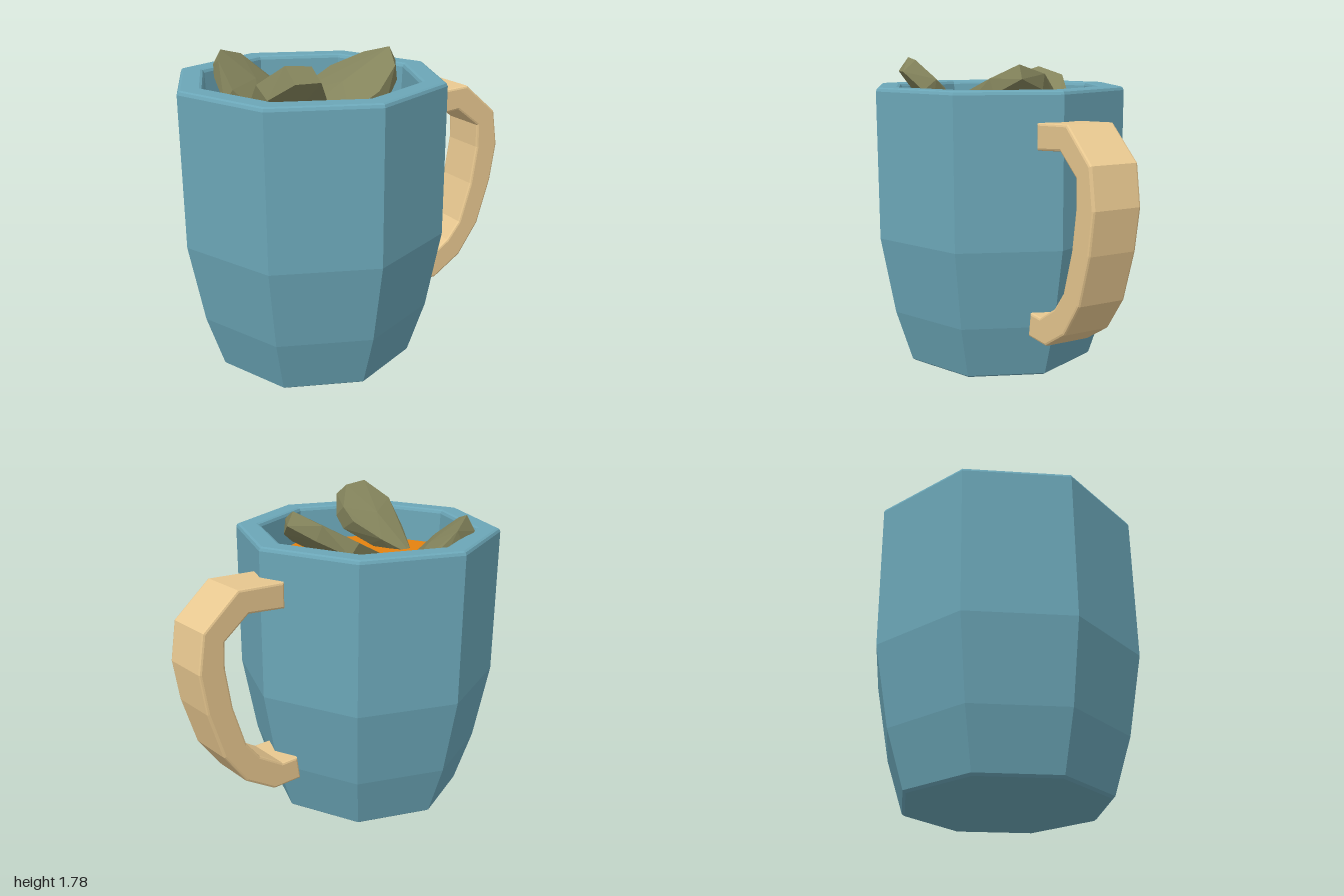
import * as THREE from 'three';
import { ConvexGeometry } from 'three/addons/geometries/ConvexGeometry.js';

const CX = -0.243; // axis of the cup
const mat = (color) => new THREE.MeshStandardMaterial({ color, flatShading: true });
const vec2 = (list) => list.map(([x, y]) => new THREE.Vector2(x, y));

function addMesh(group, name, geometry, material) {
  const mesh = new THREE.Mesh(geometry, material);
  mesh.name = name;
  group.add(mesh);
  return mesh;
}

// Rough slab: an upper outline, a slightly smaller lower outline, and a bulge on top.
function slab(outline, shift, bulge) {
  const top = outline.map((p) => new THREE.Vector3(...p));
  const down = new THREE.Vector3(...shift);
  const mid = top.reduce((sum, p) => sum.add(p), new THREE.Vector3()).divideScalar(top.length);
  const crown = mid.clone().addScaledVector(down, -bulge);
  const lower = top.map((p, i) => p.clone().lerp(mid, i % 2 ? 0.04 : 0.12).add(down));
  const keel = mid.clone().addScaledVector(down, 1.3);
  return new ConvexGeometry([...top, ...lower, crown, keel]);
}

export function createModel() {
  const model = new THREE.Group();
  model.name = 'mug';

  // Eight-sided cup with a thick, bevelled rim
  const profile = vec2([
    [0, 0], [0.56, 0], [0.577, 0.012], [0.675, 0.32], [0.757, 0.77],
    [0.757, 1.605], [0.75, 1.62], [0.737, 1.626], [0.637, 1.626], [0.623, 1.62],
    [0.615, 1.605], [0.605, 1.38], [0.59, 0.77], [0.52, 0.32], [0.44, 0.14], [0, 0.14],
  ]);
  addMesh(model, 'cup', new THREE.LatheGeometry(profile, 8), mat(0x6ba6b7)).position.x = CX;

  // Drink surface
  const drink = addMesh(model, 'drink', new THREE.CylinderGeometry(0.607, 0.605, 0.04, 8), mat(0xe5820f));
  drink.position.set(CX, 1.4, 0);

  // Angular handle
  const bevel = 0.013;
  const width = 0.282;
  const side = new THREE.Shape(vec2([
    [0.46, 1.315], [0.69, 1.335], [0.84, 1.22], [0.845, 1.08], [0.81, 0.85], [0.735, 0.61],
    [0.65, 0.505], [0.5, 0.41], [0.395, 0.41], [0.375, 0.27], [0.56, 0.27], [0.745, 0.385],
    [0.88, 0.575], [0.965, 0.85], [1.0, 1.08], [0.965, 1.295], [0.75, 1.475], [0.46, 1.46],
  ]));
  const handle = new THREE.ExtrudeGeometry(side, {
    depth: width - 2 * bevel, bevelThickness: bevel, bevelSize: bevel, bevelOffset: -bevel, bevelSegments: 2,
  });
  handle.translate(0, 0, -width / 2 + bevel + 0.006 - 0.012);
  addMesh(model, 'handle', handle, mat(0xe8c890));

  // Three tilted chunks floating in the drink
  const chunkMat = mat(0x84845c);
  const chunks = {
    middleChunk: [[
      [-0.25, 1.47, -0.22], [0.02, 1.61, -0.23], [0.16, 1.7, -0.09], [0.21, 1.755, 0.1],
      [0.15, 1.68, 0.25], [-0.02, 1.58, 0.36], [-0.19, 1.48, 0.34], [-0.32, 1.41, 0.2], [-0.37, 1.4, 0.04],
    ], [0.05, -0.07, 0.005], 0.3],
    backChunk: [[
      [-0.62, 1.68, -0.36], [-0.56, 1.72, -0.47], [-0.4, 1.67, -0.55], [-0.22, 1.51, -0.5],
      [-0.15, 1.41, -0.37], [-0.27, 1.39, -0.25], [-0.49, 1.41, -0.1], [-0.62, 1.55, -0.18],
    ], [-0.04, -0.08, -0.04], 0.25],
    frontChunk: [[
      [-0.6, 1.785, 0.42], [-0.46, 1.77, 0.43], [-0.36, 1.66, 0.34], [-0.38, 1.58, 0.27],
      [-0.48, 1.48, 0.12], [-0.62, 1.38, -0.01], [-0.69, 1.52, 0.16], [-0.7, 1.68, 0.3],
    ], [0.01, -0.06, 0.09], 0.25],
  };
  for (const [name, args] of Object.entries(chunks)) addMesh(model, name, slab(...args), chunkMat);

  return model;
}
